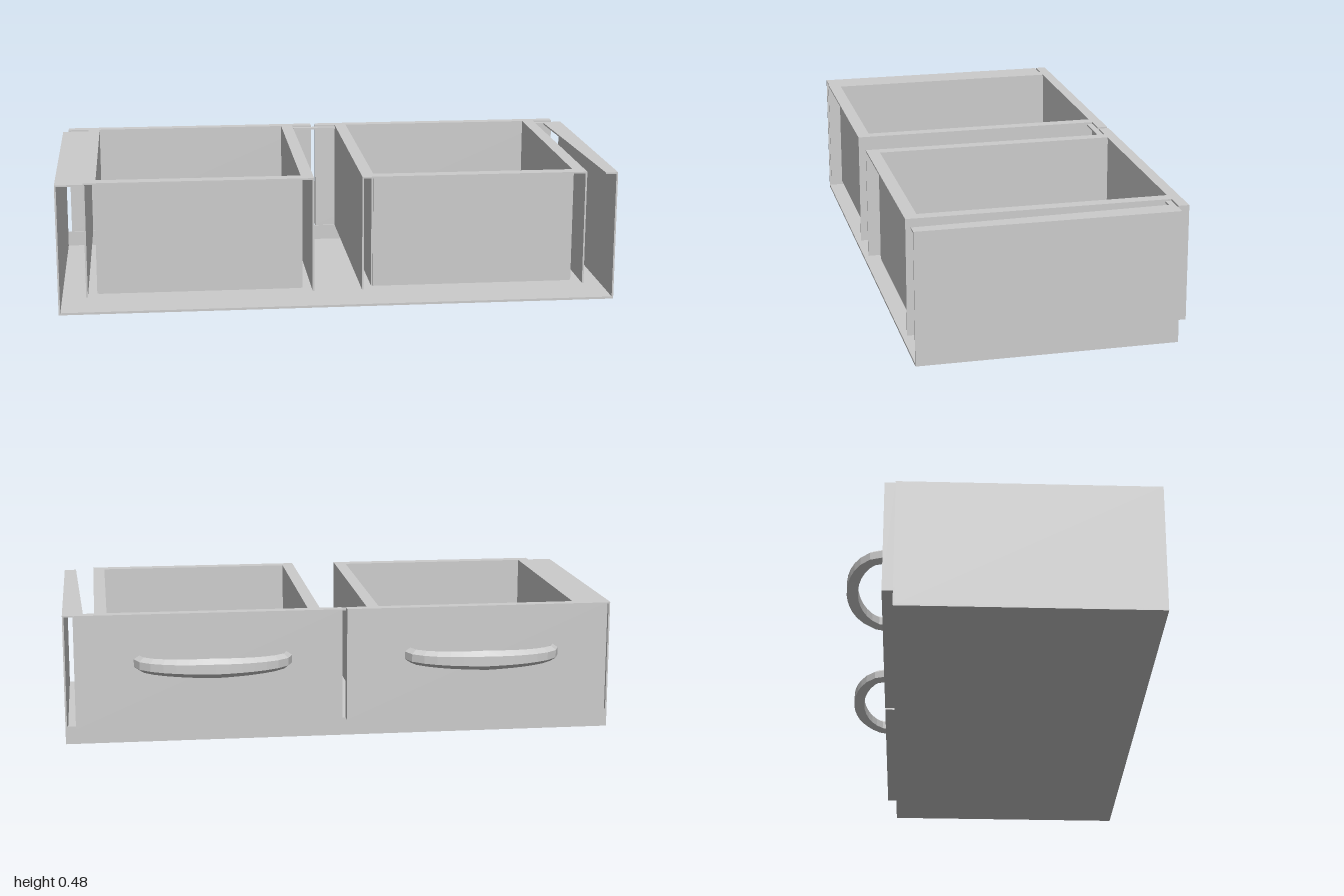
import * as THREE from 'three';

const mat = new THREE.MeshStandardMaterial({ color: 0xcccccc, flatShading: true, side: THREE.DoubleSide });
const T = 0.006; // sheet thickness

// Box given by its minimum and maximum corners
function box(parent, name, x0, x1, y0, y1, z0, z1) {
  const mesh = new THREE.Mesh(new THREE.BoxGeometry(x1 - x0, y1 - y0, z1 - z0), mat);
  mesh.position.set((x0 + x1) / 2, (y0 + y1) / 2, (z0 + z1) / 2);
  mesh.name = name;
  parent.add(mesh);
  return mesh;
}

// Flat horizontal sheet from outline points [x, z], with an optional hole
function sheet(parent, name, y, outline, hole) {
  const toVec = ([x, z]) => new THREE.Vector2(x, -z);
  const shape = new THREE.Shape(outline.map(toVec));
  if (hole) shape.holes.push(new THREE.Path(hole.map(toVec)));
  const geo = new THREE.ExtrudeGeometry(shape, { depth: T, bevelEnabled: false });
  geo.rotateX(-Math.PI / 2);
  const mesh = new THREE.Mesh(geo, mat);
  mesh.position.y = y - T;
  mesh.name = name;
  parent.add(mesh);
}

const rect = (x0, x1, z0, z1) => [[x0, z0], [x1, z0], [x1, z1], [x0, z1]];

// Bowed six-sided pull, slightly taller in the middle
function makeHandle() {
  const pts = [];
  for (let i = 0; i <= 10; i++) {
    const a = Math.PI * i / 10;
    pts.push(new THREE.Vector3(-0.265 * Math.cos(a), 0, -0.405 - 0.122 * Math.sin(a)));
  }
  const geo = new THREE.TubeGeometry(new THREE.CatmullRomCurve3(pts), 14, 0.023, 6, false);
  const p = geo.attributes.position;
  for (let i = 0; i < p.count; i++) {
    const middle = 1 - Math.min(1, Math.abs(p.getX(i)) / 0.265);
    p.setY(i, p.getY(i) * (1.2 + 0.35 * middle));
  }
  geo.computeVertexNormals();
  const mesh = new THREE.Mesh(geo, mat);
  mesh.name = 'handle';
  mesh.position.y = 0.302;
  return mesh;
}

// Drawer centred on x = 0: hollow double-walled tray with an overhanging front
function makeDrawer() {
  const g = new THREE.Group();
  g.name = 'drawer';
  const W = 0.404, w = 0.36, y0 = 0.065, y1 = 0.478, zf = -0.372, zb = 0.546, zi = 0.5;
  box(g, 'drawerFront', -0.482, 0.48, y0, y1, -0.41, zf);
  for (const s of [-1, 1]) {
    const o = s * (W - T / 2), i = s * (w + T / 2);
    box(g, 'outerSide', o - T / 2, o + T / 2, y0, y1, zf, zb);
    box(g, 'innerSide', i - T / 2, i + T / 2, y0, y1 - T, zf, zi);
  }
  box(g, 'trayBack', -w, w, y0, y1 - T, zi, zi + T);
  box(g, 'trayFloor', -w, w, 0.124, 0.13, zf, zi);
  sheet(g, 'trayUnderside', y0 + T, rect(-w, w, zf, zi));
  sheet(g, 'rim', y1, rect(-W, W, zf, zb), rect(-w, w, zf + 0.002, zi));
  const handle = makeHandle();
  handle.position.x = -0.015;
  g.add(handle);
  return g;
}

export function createModel() {
  const model = new THREE.Group();
  model.name = 'drawerUnit';

  // Open sheet casing
  const casing = new THREE.Group();
  casing.name = 'casing';
  const zb = -0.372, zf = 0.54, top = 0.472;
  box(casing, 'basePlate', -1, 1, 0, 0.008, zb, zf);
  box(casing, 'rightWall', -1, -1 + T, 0, top, zb, zf);
  box(casing, 'leftWall', 1 - T, 1, 0, top, zb, zf);
  box(casing, 'lowerRail', -1, 1, 0, 0.065, zb, zb + T);
  sheet(casing, 'rightFlange', top, rect(-1, -0.9, zb, zf));
  sheet(casing, 'leftFlange', top, [[0.925, zb], [1, zb], [1, zf], [0.955, zf]]);
  sheet(casing, 'middleFlange', top, rect(-0.09, 0.08, zb, -0.35));
  sheet(casing, 'cornerFlange', top, rect(0.885, 0.927, zb, -0.35));
  model.add(casing);

  // Two matching drawers
  for (const x of [-0.497, 0.482]) {
    const drawer = makeDrawer();
    drawer.position.x = x;
    model.add(drawer);
  }
  return model;
}
